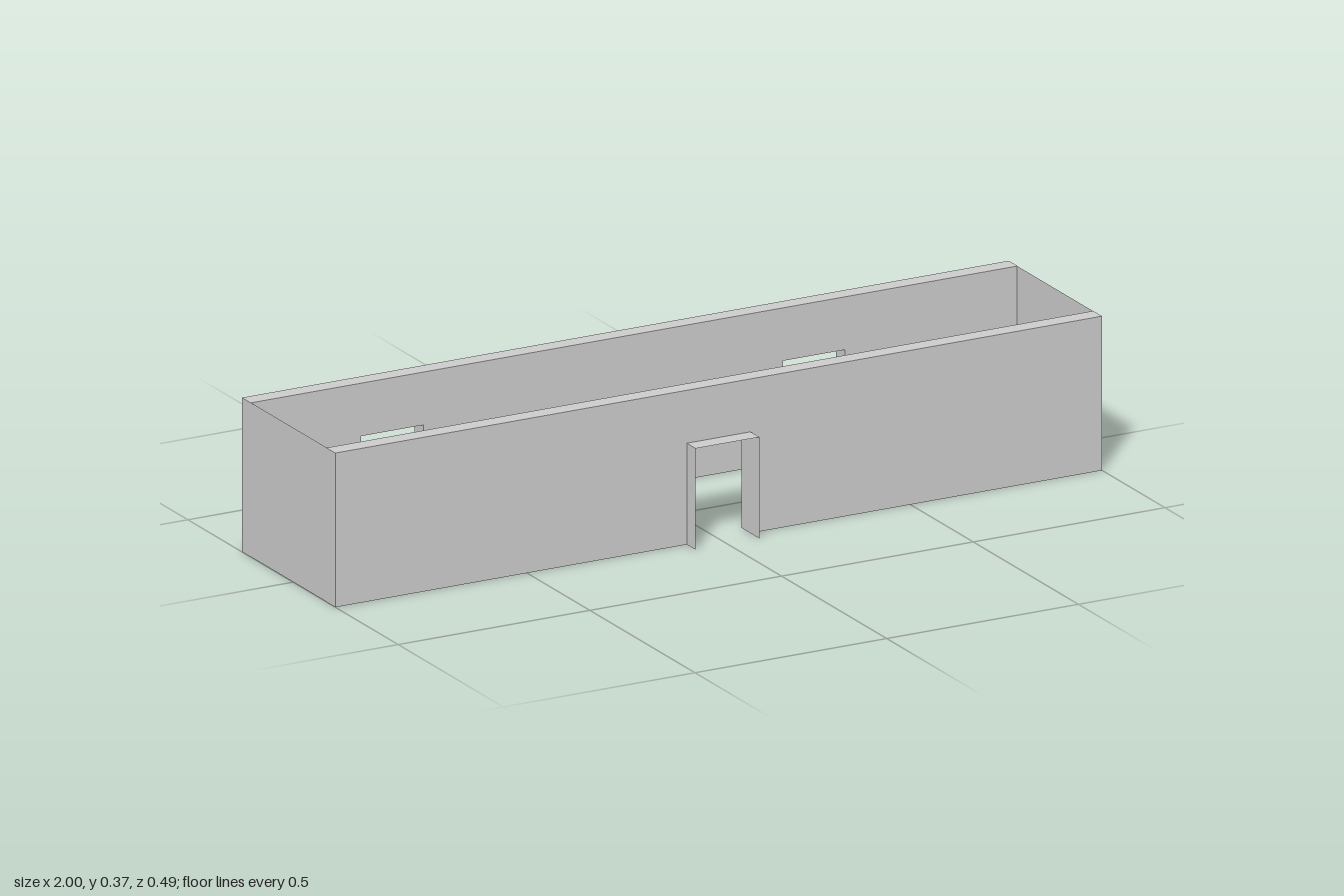
import * as THREE from 'three';

const H = 0.373;        // wall height
const DOOR_H = 0.245;   // doorway height
const T = 0.042;        // thickness of the long walls
const Z = 0.243;        // half depth
const FRONT = 0.201;    // outer face of the front wall

const solid = new THREE.MeshStandardMaterial({ color: 0xcccccc });
const thin = new THREE.MeshStandardMaterial({ color: 0xcccccc, side: THREE.DoubleSide });

// Wall outline from a to b, with doorways notched up from the floor
function wallShape(a, b, doors) {
  const s = new THREE.Shape();
  s.moveTo(a, 0);
  for (const [d0, d1] of doors) {
    s.lineTo(d0, 0);
    s.lineTo(d0, DOOR_H);
    s.lineTo(d1, DOOR_H);
    s.lineTo(d1, 0);
  }
  s.lineTo(b, 0);
  s.lineTo(b, H);
  s.lineTo(a, H);
  s.closePath();
  return s;
}

export function createModel() {
  const model = new THREE.Group();
  const add = (name, geometry, material) => {
    const mesh = new THREE.Mesh(geometry, material);
    mesh.name = name;
    model.add(mesh);
    return mesh;
  };

  // Thick long walls
  const longWall = (name, doors, z) => {
    const g = new THREE.ExtrudeGeometry(wallShape(-1, 1, doors), { depth: T, bevelEnabled: false });
    add(name, g.translate(0, 0, z), solid);
  };
  longWall('frontWall', [[-0.083, 0.083]], FRONT - T);
  longWall('backWall', [[-0.713, -0.55], [0.388, 0.55]], -Z);

  // Paper-thin end walls, running between the middles of the long walls
  const endWall = (name, x, doors) => {
    const g = new THREE.ShapeGeometry(wallShape(-0.182, 0.222, doors));
    add(name, g.rotateY(Math.PI / 2).translate(x, 0, 0), thin);
  };
  endWall('leftEndWall', 0.999, [[-0.063, 0.1]]);
  endWall('rightEndWall', -0.999, []);

  // Thin door lining projecting from the front wall
  const depth = Z - FRONT, zMid = (Z + FRONT) / 2;
  for (const side of [-1, 1]) {
    const jamb = new THREE.PlaneGeometry(depth, DOOR_H).rotateY(Math.PI / 2);
    add('frontDoorJamb', jamb.translate(side * 0.083, DOOR_H / 2, zMid), thin);
  }
  const head = new THREE.PlaneGeometry(0.166, depth).rotateX(-Math.PI / 2);
  add('frontDoorHead', head.translate(0, DOOR_H, zMid), thin);

  return model;
}
